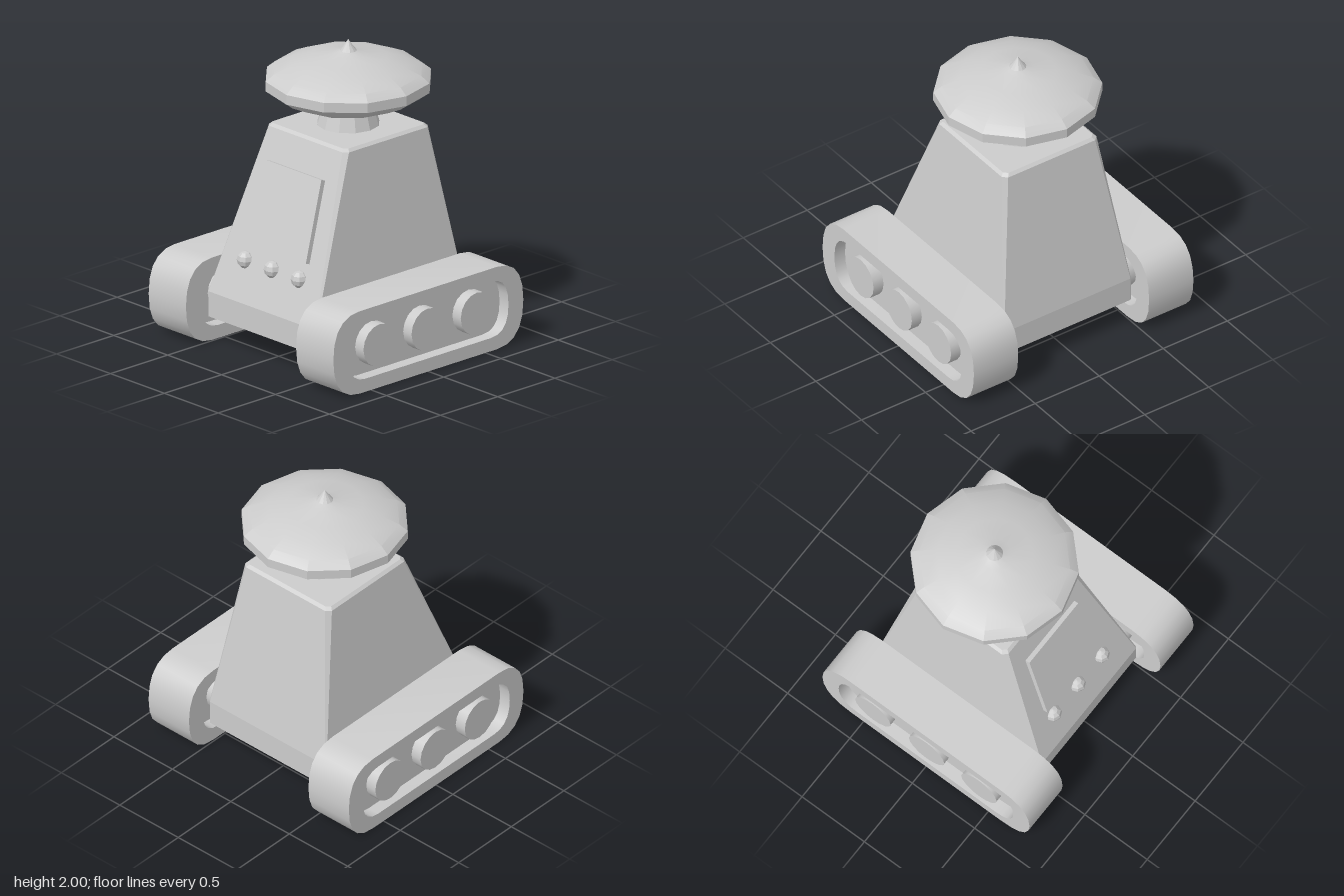
import * as THREE from 'three';
import { toCreasedNormals } from 'three/addons/utils/BufferGeometryUtils.js';
import { ConvexGeometry } from 'three/addons/geometries/ConvexGeometry.js';

const grey = new THREE.MeshStandardMaterial({ color: 0xcccccc });
grey.name = 'grey';

function part(name, geometry, parent, x = 0, y = 0, z = 0) {
  const mesh = new THREE.Mesh(geometry, grey);
  mesh.name = name;
  mesh.position.set(x, y, z);
  parent.add(mesh);
  return mesh;
}

// Rounded block outline, half length L and half height H, curving from the flat half length f
function roundedOutline(target, L, H, f) {
  target.moveTo(f, -H);
  target.quadraticCurveTo(L, -H, L, 0);
  target.quadraticCurveTo(L, H, f, H);
  target.lineTo(-f, H);
  target.quadraticCurveTo(-L, H, -L, 0);
  target.quadraticCurveTo(-L, -H, -f, -H);
  target.closePath();
  return target;
}

// Extrude a side outline across x, centred
function acrossX(shape, width) {
  const g = new THREE.ExtrudeGeometry(shape, { depth: width, bevelEnabled: false, curveSegments: 5 });
  g.translate(0, 0, -width / 2).rotateY(Math.PI / 2);
  return toCreasedNormals(g, 0.6);
}

// Tapered body from rings: y, half width, back z, front z, corner chamfer
function bodyGeometry() {
  const rings = [
    [0.18, 0.5, -0.652, 0.65, 0.008],
    [0.35, 0.5, -0.652, 0.65, 0.008],
    [1.415, 0.37, -0.48, 0.265, 0.03],
    [1.433, 0.35, -0.46, 0.245, 0.025],
  ];
  const points = [];
  for (const [y, w, back, front, c] of rings) {
    for (const s of [-1, 1]) {
      points.push(
        new THREE.Vector3(s * w, y, back + c), new THREE.Vector3(s * (w - c), y, back),
        new THREE.Vector3(s * w, y, front - c), new THREE.Vector3(s * (w - c), y, front));
    }
  }
  return new ConvexGeometry(points);
}

function track(name, x) {
  const group = new THREE.Group();
  group.name = name;
  group.position.set(x, 0.282, 0);
  const belt = roundedOutline(new THREE.Shape(), 0.83, 0.279, 0.6);
  belt.holes.push(roundedOutline(new THREE.Path(), 0.7, 0.19, 0.55));
  part('trackBelt', acrossX(belt, 0.346), group);
  part('trackPanel', acrossX(roundedOutline(new THREE.Shape(), 0.7, 0.19, 0.55), 0.18), group);
  for (const z of [-0.43, 0, 0.42]) {
    const wheel = new THREE.CylinderGeometry(0.142, 0.142, 0.335, 16).rotateZ(Math.PI / 2);
    part('wheel', wheel, group, 0, 0.004, z);
  }
  return group;
}

function lathe(points, sides, crease) {
  const g = new THREE.LatheGeometry(points.map(([r, y]) => new THREE.Vector2(r, y)), sides);
  return toCreasedNormals(g, crease);
}

export function createModel() {
  const model = new THREE.Group();
  model.name = 'trackedRobot';

  part('body', bodyGeometry(), model);
  model.add(track('leftTrack', 0.684), track('rightTrack', -0.684));

  // Neck and faceted pointed cap
  const headZ = -0.107;
  part('neck', lathe([[0.207, 1.42], [0.175, 1.53], [0.207, 1.545]], 12, 0.4), model, 0, 0, headZ);
  part('cap', lathe([
    [0, 1.54], [0.2, 1.543], [0.37, 1.595], [0.485, 1.65], [0.54, 1.69], [0.54, 1.755],
    [0.485, 1.8], [0.375, 1.848], [0.25, 1.885], [0.11, 1.907], [0.055, 1.925], [0.027, 1.96], [0, 2],
  ], 12, 0.3), model, 0, 0, headZ);

  // Screen plate lying on the sloped front
  const slope = 0.36;
  const screenShape = new THREE.Shape([[-0.305, -0.27], [0.305, -0.27], [0.255, 0.27], [-0.255, 0.27]]
    .map(([x, y]) => new THREE.Vector2(x, y)));
  const screen = part('screen',
    new THREE.ExtrudeGeometry(screenShape, { depth: 0.045, bevelEnabled: false }),
    model, 0, 0.962, 0.417);
  screen.rotation.x = -Math.atan(slope);

  // Row of buttons
  for (const x of [-0.25, 0, 0.25]) {
    const knob = toCreasedNormals(new THREE.SphereGeometry(0.058, 8, 6), 0.3);
    part('button', knob, model, x, 0.605, 0.553);
  }
  return model;
}
